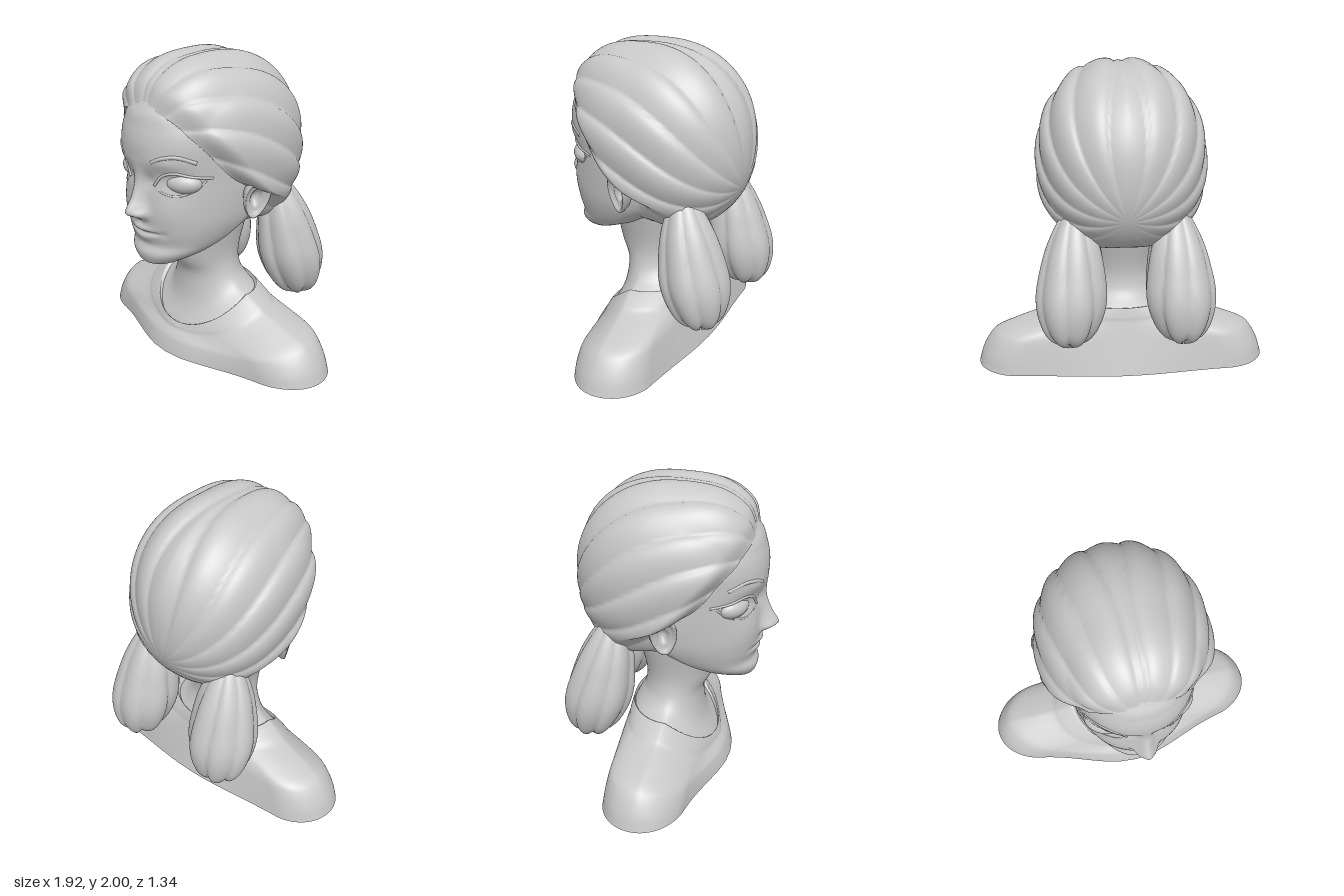
import * as THREE from 'three';

const clay = new THREE.MeshStandardMaterial({ color: 0xc8c8c8, side: THREE.DoubleSide });
clay.name = 'clay grey';

const { lerp, clamp, smoothstep } = THREE.MathUtils;
const RAD = Math.PI / 180;
const spow = (v, p) => Math.sign(v) * Math.abs(v) ** p;
const bell = (v, s) => Math.exp(-((v / s) ** 2));

// Smooth interpolation through table rows [key, ...values]
function sample(table, key) {
  let i = 0;
  while (i < table.length - 2 && key > table[i + 1][0]) i++;
  const A = table[i], B = table[i + 1], P = table[i - 1] || A, N = table[i + 2] || B;
  const h = B[0] - A[0], s = clamp((key - A[0]) / h, 0, 1), s2 = s * s, s3 = s2 * s;
  return A.slice(1).map((a, k) => {
    const c = k + 1;
    const m0 = (B[c] - P[c]) / (B[0] - P[0]) * h, m1 = (N[c] - A[c]) / (N[0] - A[0]) * h;
    return (2 * s3 - 3 * s2 + 1) * a + (s3 - 2 * s2 + s) * m0 + (3 * s2 - 2 * s3) * B[c] + (s3 - s2) * m1;
  });
}

// Skin of closed rings: fn(u, angle) -> [x, y, z]
function loft(rows, cols, fn) {
  const pos = [], index = [];
  for (let i = 0; i <= rows; i++) {
    for (let j = 0; j < cols; j++) {
      pos.push(...fn(i / rows, j / cols * 2 * Math.PI));
      if (i === rows) continue;
      const a = i * cols + j, b = i * cols + (j + 1) % cols;
      index.push(a, a + cols, b, b, a + cols, b + cols);
    }
  }
  const g = new THREE.BufferGeometry();
  g.setAttribute('position', new THREE.Float32BufferAttribute(pos, 3));
  g.setIndex(index);
  g.computeVertexNormals();
  return g;
}

// --- Head: height, half width, front z, back z, z of widest point
const HEAD = [
  [0.688, 0.0, 0.45, 0.43, 0.44], [0.70, 0.1, 0.515, 0.35, 0.41], [0.73, 0.168, 0.54, 0.28, 0.36],
  [0.78, 0.243, 0.55, 0.16, 0.28], [0.84, 0.3, 0.53, 0.02, 0.19], [0.92, 0.348, 0.552, -0.13, 0.1],
  [1.0, 0.38, 0.56, -0.27, 0.04], [1.1, 0.4, 0.562, -0.38, 0], [1.2, 0.41, 0.56, -0.43, 0],
  [1.3, 0.415, 0.568, -0.47, 0], [1.4, 0.42, 0.587, -0.49, 0], [1.5, 0.425, 0.59, -0.49, 0],
  [1.6, 0.41, 0.57, -0.46, 0], [1.7, 0.36, 0.53, -0.38, 0], [1.8, 0.25, 0.4, -0.26, 0], [1.88, 0, 0, 0, 0]
];
const NOSE = [ // height, projection, ridge width
  [1.0, 0, 0.06], [1.03, 0.045, 0.06], [1.055, 0.098, 0.06], [1.08, 0.108, 0.058],
  [1.15, 0.068, 0.046], [1.25, 0.025, 0.044], [1.34, 0.008, 0.05], [1.42, 0, 0.06]
];
const FEATURES = [ // x, y, x spread, y spread, relief (mirrored)
  [0.21, 1.29, 0.1, 0.065, -0.022], [0.085, 1.27, 0.04, 0.05, -0.016],  // eye sockets
  [0.055, 1.05, 0.024, 0.026, 0.026],                                  // nostril wings
  [0.2, 1.4, 0.1, 0.04, 0.008], [0.22, 1.08, 0.12, 0.11, 0.016],       // brow bone, cheeks
  [0, 0.95, 0.075, 0.018, 0.018], [0, 0.885, 0.075, 0.026, 0.015],     // lips
  [0.165, 0.93, 0.022, 0.022, -0.008], [0, 0.985, 0.018, 0.025, -0.006] // mouth corners, philtrum
];
const EXP = 2.18;
function relief(x, y) {
  const ax = Math.abs(x), [amp, wide] = sample(NOSE, y);
  let d = amp * bell(ax, wide);
  for (const [fx, fy, sx, sy, a] of FEATURES) d += a * bell(ax - fx, sx) * bell(y - fy, sy);
  d -= 0.016 * bell(y - 0.922 - 0.35 * x * x, 0.011) * (1 - smoothstep(ax, 0.1, 0.17)); // mouth line
  return d;
}
function faceZ(x, y) {
  const [hx, zf, , zc] = sample(HEAD, y);
  const r = Math.min(Math.abs(x) / Math.max(hx, 0.001), 1);
  return zc + (zf - zc) * (1 - r ** EXP) ** (1 / EXP) + relief(x, y);
}
function headPoint(u, a) {
  const y = lerp(0.688, 1.88, u ** 1.15), [hx, zf, zb, zc] = sample(HEAD, y);
  const c = Math.cos(a), s = Math.sin(a);
  if (s < 0) return [hx * spow(c, lerp(2 / EXP, 1, -s)), y, zc - (zc - zb) * -s];
  const x = hx * spow(c, 2 / EXP);
  return [x, y, zc + (zf - zc) * s ** (2 / EXP) + relief(x, y) * smoothstep(s, 0, 0.3)];
}

// --- Hair: swept-back strands that run from the hairline to the lower back of the head
const HAIRLINE = [ // angle round the head axis, start angle, edge tuck, tuck length
  [0, 14.5, 0.045, 0.25], [40, 17, 0.05, 0.25], [75, 31, 0.07, 0.35], [90, 45, 0.11, 0.5], [105, 70, 0.17, 0.55],
  [110, 92, 0.18, 0.55], [124, 104, 0.17, 0.55], [138, 110, 0.11, 0.55], [156, 126, 0.1, 0.55], [180, 133, 0.09, 0.55]
];
const TILT = 0.35;
function hairPoint(u, phi) {
  const deg = phi > Math.PI ? 360 - phi / RAD : phi / RAD;
  const [start, tuck, reach] = sample(HAIRLINE, deg);
  const inner = u > 0.985;
  const th = lerp(start * RAD, Math.PI, inner ? 0 : 1 - Math.min(u / 0.97, 1));
  const ct = Math.cos(th), st = Math.sin(th), cp = Math.cos(phi);
  const x = st * Math.sin(phi);
  const y = ct * Math.sin(TILT) + st * cp * Math.cos(TILT);
  const z = ct * Math.cos(TILT) - st * cp * Math.sin(TILT);
  // fuller above the forehead
  const front = y > 0 && z > 0 ? smoothstep(y * z, 0, 0.42) * Math.max(0, 1 - 2.5 * x * x) : 0;
  const n = 2.2 + 0.55 * front;
  let r = (Math.abs(x / 0.545) ** n + Math.abs(y / (y > 0 ? 0.645 : 0.58)) ** n
    + Math.abs(z / (z > 0 ? 0.59 : 0.63)) ** n) ** (-1 / n);
  r *= 1 - tuck * (1 - smoothstep(th - start * RAD, 0, reach));
  // overlapping strands with sharp grooves, smoother towards the nape
  const k = deg / 180 * 8 + 0.5 + 0.35 * Math.sin(th * 1.5), f = k - Math.floor(k);
  const strand = Math.sin(Math.PI * f ** 0.65) - 0.7;
  r *= 1 + 0.045 * strand * st ** 1.4 * (1 - 0.8 * smoothstep(deg, 105, 145));
  if (inner) r *= 0.8;
  return [x * r, 1.35 + y * r, z * r];
}

// --- Ponytail: height fraction, radius
const TAIL = [[0, 0.03], [0.06, 0.085], [0.25, 0.16], [0.45, 0.203], [0.65, 0.222], [0.82, 0.19], [0.94, 0.12], [1, 0.01]];
function tailPoint(u, a) {
  const t = 1 - u, [r] = sample(TAIL, t);
  const k = a / (2 * Math.PI) * 7 + 0.4 * t + 0.25, f = k - Math.floor(k);
  const lobe = Math.sin(Math.PI * f ** 0.7);
  const R = r * (0.91 + 0.1 * lobe);
  return [0.305 + 0.055 * t + R * Math.cos(a), 1.15 - 0.84 * t - 0.03 * lobe * t ** 4,
    -0.34 - 0.16 * t + R * Math.sin(a)];
}

// --- Shirt and neck
const neckDip = s => Math.max(0, s) ** 1.15;
const SHIRT = [ // fraction, inward blend, rise, collar lift
  [0, 0, 0, 0], [0.14, 0.05, 0.23, 0], [0.28, 0.14, 0.45, 0], [0.42, 0.24, 0.57, 0], [0.55, 0.45, 0.68, 0],
  [0.7, 0.75, 0.82, 0], [0.73, 0.79, 0.84, 0.01], [0.94, 0.98, 0.985, 0.01], [0.97, 1, 1, 0], [1, 1.05, 0.93, -0.01]
];
function shirtPoint(u, a) {
  const [inward, rise, lift] = sample(SHIRT, u), c = Math.cos(a), s = Math.sin(a);
  const bx = 0.96 * spow(c, 0.65), mid = bell(bx, 0.53);
  // rounded end of the upper arm
  const cap = Math.sqrt(Math.max(0, 1 - (Math.max(0, Math.abs(bx) - 0.7) / 0.26) ** 2));
  const bz = -0.07 + Math.sign(s) * cap * (s > 0 ? 0.23 + 0.23 * mid : 0.25 + 0.07 * mid);
  const y = (0.43 - 0.24 * neckDip(s)) * rise + lift;
  // chest and back slope more evenly than the shoulders
  const slope = u > 0.95 ? inward : lerp(inward, rise, s ** 4 * (s > 0 ? 0.4 : 1));
  return [lerp(bx, 0.37 * c, inward), Math.max(0, y), lerp(bz, (s > 0 ? 0.29 : 0.28) * s, slope)];
}
const NECK = [ // fraction, half width, front z, back z, front height, back height
  [0, 0.365, 0.29, -0.275, 0.16, 0.41], [0.3, 0.275, 0.21, -0.245, 0.33, 0.47], [0.5, 0.228, 0.19, -0.205, 0.52, 0.55],
  [0.75, 0.217, 0.25, -0.2, 0.66, 0.69], [1, 0.27, 0.3, -0.27, 0.9, 0.95]
];
function neckPoint(u, a) {
  const [hx, zf, zb, yf, yb] = sample(NECK, u), s = Math.sin(a);
  return [hx * Math.cos(a), lerp(yb, yf, neckDip(s)), s > 0 ? zf * s : -zb * s];
}

// --- Ear: a lathed bowl with a rolled rim, facing +x
function earGeometry() {
  const profile = [[0.55, -0.06], [0.85, -0.03], [1, 0.015], [0.97, 0.035], [0.88, 0.04], [0.76, 0.025],
    [0.62, 0.014], [0.5, 0.018], [0.38, 0.004], [0.25, -0.02], [0, -0.025]].map(p => new THREE.Vector2(...p));
  const g = new THREE.LatheGeometry(profile, 40);
  g.rotateZ(-Math.PI / 2).scale(1, 0.137, 0.085);
  const p = g.attributes.position;
  for (let i = 0; i < p.count; i++) { // narrow towards the lobe
    const y = p.getY(i);
    p.setZ(i, p.getZ(i) * (1 + 1.8 * y) - 0.1 * y);
  }
  g.computeVertexNormals();
  return g;
}

// Tube that follows the face through the given x, y points
function faceTube(points, radius, lift) {
  const path = new THREE.CatmullRomCurve3(points.map(([x, y]) => new THREE.Vector3(x, y, faceZ(x, y) + lift)));
  return new THREE.TubeGeometry(path, 28, radius, 8);
}

export function createModel() {
  const model = new THREE.Group();
  const add = (name, geometry, parent = model) => {
    const mesh = new THREE.Mesh(geometry, clay);
    mesh.name = name;
    parent.add(mesh);
    return mesh;
  };

  add('shirt', loft(60, 160, shirtPoint));
  add('neck', loft(24, 64, neckPoint));
  add('head', loft(120, 176, headPoint));
  add('hair', loft(66, 224, hairPoint));

  // Paired parts, made on +x and mirrored
  for (const side of [1, -1]) {
    const half = new THREE.Group();
    half.name = side > 0 ? 'leftSide' : 'rightSide';
    half.scale.x = side;
    model.add(half);

    add('ponytail', loft(48, 98, tailPoint), half);

    const ear = add('ear', earGeometry(), half);
    ear.position.set(0.455, 1.14, 0.015);
    ear.rotation.set(0, -0.42, -0.2);

    const eye = add('eye', new THREE.SphereGeometry(1, 36, 24), half);
    eye.scale.set(0.122, 0.073, 0.085);
    eye.position.set(0.23, 1.272, faceZ(0.23, 1.272) - 0.064);
    eye.rotation.y = 0.5;

    add('upperEyelid', faceTube([[0.115, 1.25], [0.165, 1.315], [0.235, 1.342], [0.31, 1.32], [0.37, 1.305]], 0.009, 0.001), half);
    add('lowerEyelid', faceTube([[0.115, 1.25], [0.17, 1.21], [0.25, 1.198], [0.32, 1.24], [0.35, 1.295]], 0.007, -0.004), half);
    add('eyebrow', faceTube([[0.125, 1.405], [0.19, 1.437], [0.26, 1.447], [0.33, 1.41]], 0.014, -0.008), half);
  }
  return model;
}
